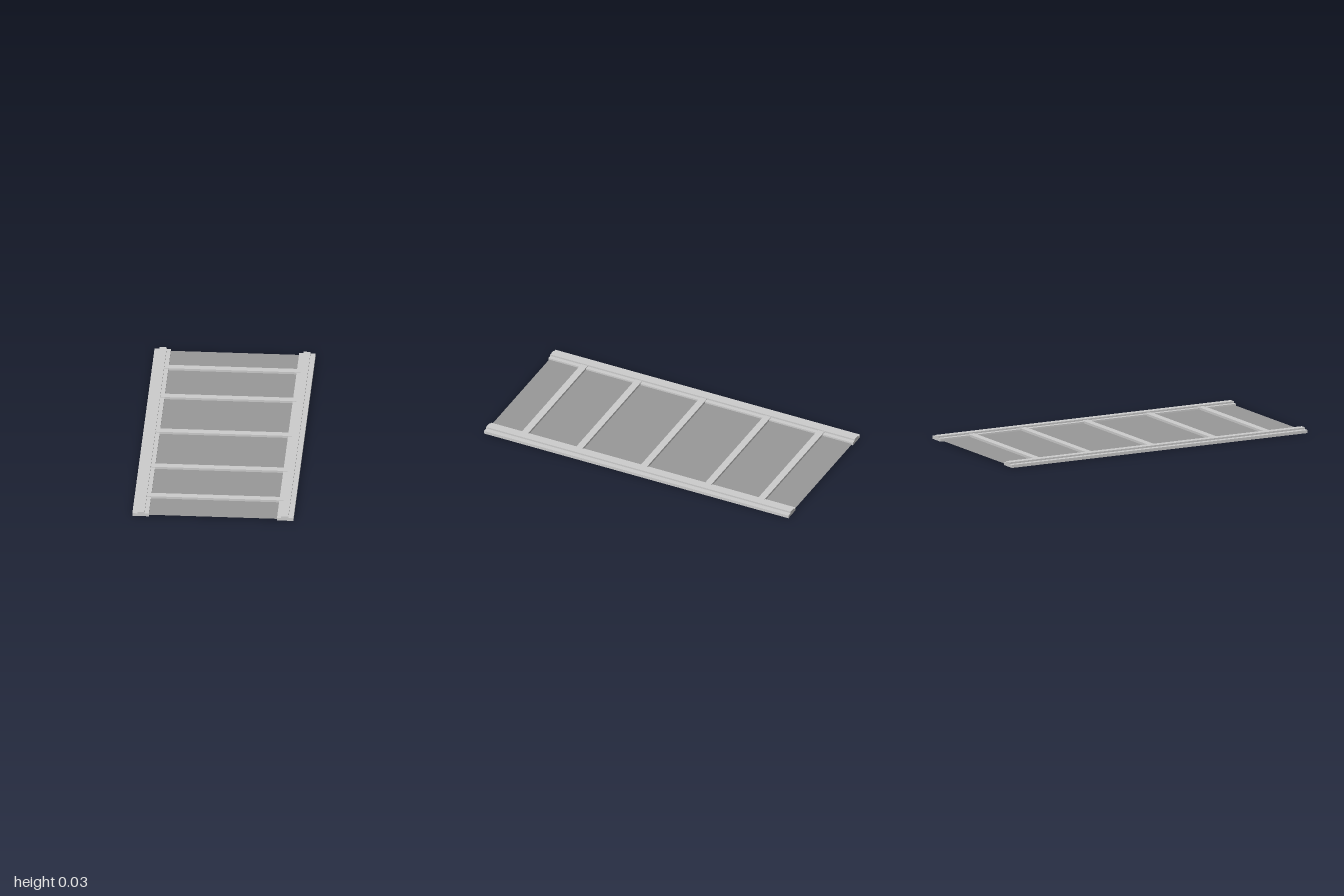
import * as THREE from 'three';

export function createModel() {
  const group = new THREE.Group();
  const frameMat = new THREE.MeshStandardMaterial({ color: 0xcccccc });
  const panelMat = new THREE.MeshStandardMaterial({ color: 0x989898, side: THREE.DoubleSide });

  // Box given by its width, vertical extent and length
  function box(name, w, y0, y1, length, x, z) {
    const mesh = new THREE.Mesh(new THREE.BoxGeometry(w, y1 - y0, length), frameMat);
    mesh.name = name;
    mesh.position.set(x, (y0 + y1) / 2, z);
    group.add(mesh);
  }

  // Side rails, each with a raised strip on top
  for (const [side, s] of [['left', 1], ['right', -1]]) {
    box(side + 'Rail', 0.097, 0, 0.018, 2, s * 0.4265, 0);
    box(side + 'RailStrip', 0.042, 0.018, 0.028, 2, s * 0.424, 0);
  }

  // Cross bars resting on the panel and lapping over the rails
  [-0.78, -0.43, -0.008, 0.417, 0.774].forEach((z, i) =>
    box('crossBar' + (i + 1), 0.807, 0.008, 0.0215, 0.042, 0, z));

  // Thin sheet between the rails
  const panel = new THREE.Mesh(new THREE.PlaneGeometry(0.78, 1.99), panelMat);
  panel.name = 'panel';
  panel.rotation.x = -Math.PI / 2;
  panel.position.y = 0.008;
  group.add(panel);

  return group;
}
